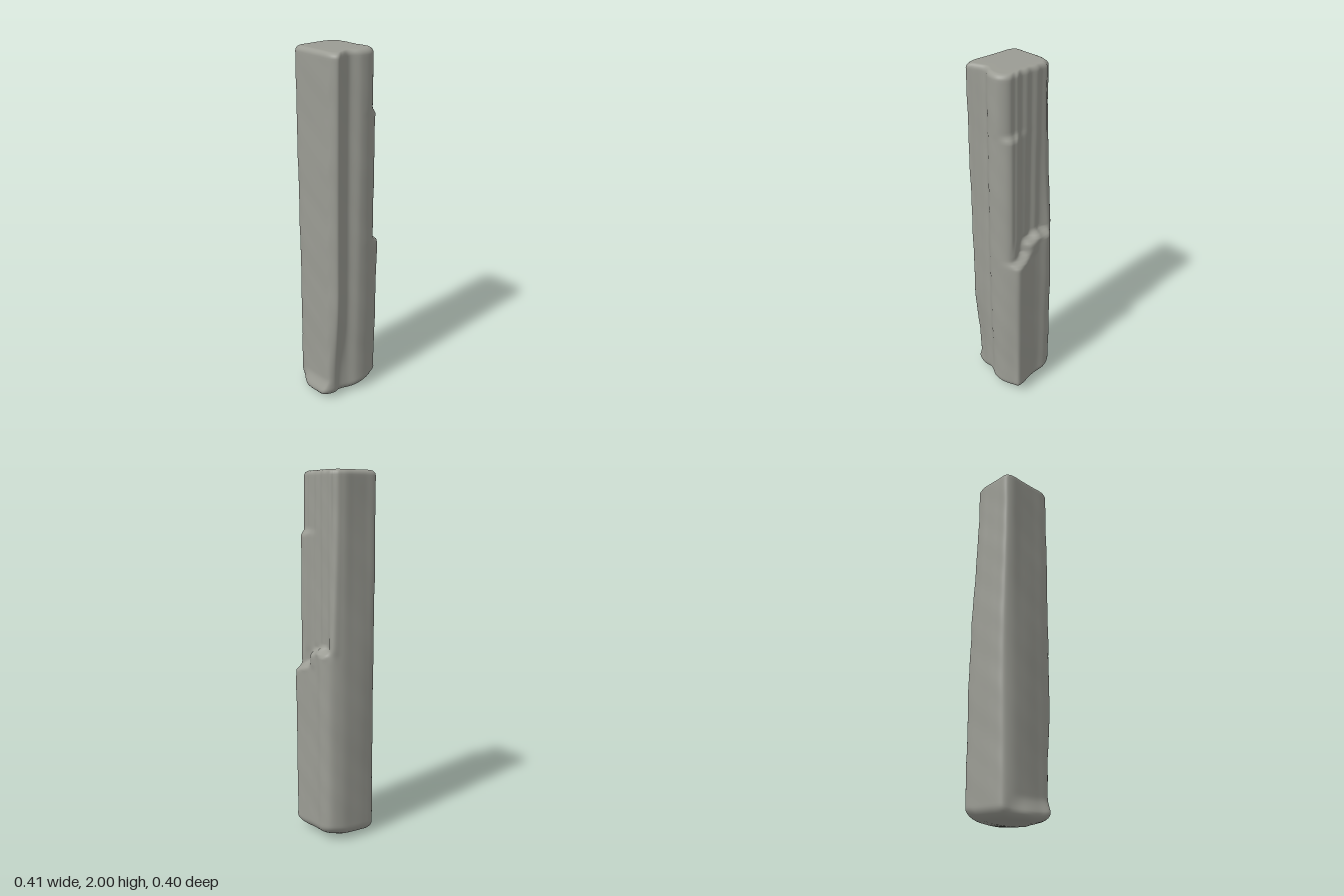
import * as THREE from 'three';

// Outline control points [x, z], counter-clockwise from the front-left ridge.
// Points 6-12 form the split left flank, 13-16 the back.
const UPPER = [
  [-0.13, 0.175], [-0.1, 0.2], [-0.065, 0.178], [-0.015, 0.147], [0.05, 0.16],
  [0.11, 0.145], [0.14, 0.105], [0.135, 0.06], [0.118, 0.02], [0.105, -0.03],
  [0.095, -0.08], [0.08, -0.13], [0.06, -0.16], [0.01, -0.17], [-0.05, -0.155],
  [-0.12, -0.135], [-0.18, -0.115], [-0.19, -0.08], [-0.175, -0.01], [-0.155, 0.08],
];
const LOWER = [
  [-0.135, 0.16], [-0.1, 0.197], [-0.065, 0.176], [-0.015, 0.147], [0.05, 0.16],
  [0.12, 0.145], [0.178, 0.105], [0.203, 0.07], [0.185, 0.02], [0.155, -0.03],
  [0.137, -0.09], [0.128, -0.15], [0.095, -0.19], [0.03, -0.198], [-0.04, -0.183],
  [-0.12, -0.158], [-0.172, -0.13], [-0.185, -0.085], [-0.177, -0.01], [-0.157, 0.08],
];
// Middle layer of the flank, and the heights at which the lower layer breaks off
const MIDDLE = { 6: [0.157, 0.11], 7: [0.16, 0.07], 8: [0.128, 0.025] };
const BREAK = { 6: 0.95, 7: 0.95, 8: 0.97, 9: 1.05, 10: 1.07, 11: 1.06 };
const COUNT = UPPER.length, COLS = 120;
const CX = -0.01, CZ = 0.0;

const step = THREE.MathUtils.smoothstep;
const mix = THREE.MathUtils.lerp;

// Outline of the stick at one height
function outline(y) {
  const points = UPPER.map((u, i) => {
    let [x, z] = u;
    if (MIDDLE[i]) {
      const k = 1 - step(y, 1.66, 1.7);
      x = mix(x, MIDDLE[i][0], k);
      z = mix(z, MIDDLE[i][1], k);
    }
    const b = BREAK[i];
    const k = b ? 1 - step(y, b - 0.025, b + 0.015) : 1 - step(y, 0.65, 1.9);
    x = mix(x, LOWER[i][0], k);
    z = mix(z, LOWER[i][1], k);
    // front ridge fades toward the foot
    if (z > 0.1) z -= (z > 0.17 ? 0.04 : 0.012) * (1 - step(y, 0.05, 0.7));
    // flared lip on the right of the foot
    if (i >= 18 || i === 0) x -= 0.035 * (1 - step(y, 0.0, 0.12));
    return new THREE.Vector3(x, 0, z);
  });
  return new THREE.CatmullRomCurve3(points, true);
}

// Heights and inward scale of every ring, from foot centre to top centre
function ringProfile() {
  const rings = [[0, 0.001], [0, 0.35], [0, 0.65]];
  const rb = 0.045, rt = 0.028;
  for (let k = 0; k <= 6; k++) {
    const a = (k / 6) * Math.PI / 2;
    rings.push([rb * (1 - Math.cos(a)), 1 - rb * (1 - Math.sin(a)) / 0.17]);
  }
  for (let k = 1; k < 150; k++) rings.push([mix(rb, 2 - rt, k / 150), 1]);
  for (let k = 0; k <= 6; k++) {
    const a = (k / 6) * Math.PI / 2;
    rings.push([2 - rt + rt * Math.sin(a), 1 - rt * (1 - Math.cos(a)) / 0.17]);
  }
  rings.push([2, 0.6], [2, 0.3], [2, 0.001]);
  return rings;
}

function stickGeometry() {
  const positions = [], index = [];
  const rings = ringProfile();
  for (const [y, scale] of rings) {
    const curve = outline(y);
    for (let c = 0; c < COLS; c++) {
      const p = curve.getPoint(c / COLS);
      const u = (c / COLS) * COUNT;
      // shallow lumps and vertical ribs on the exposed flank
      const lump = 1 + 0.009 * Math.sin(5 * y + u) * Math.sin(9 * y - 0.6 * u + 1)
        + 0.003 * Math.sin(31 * y + 2 * u);
      const rib = step(u, 6, 7) * (1 - step(u, 12, 13)) * step(y, 1.0, 1.1);
      const s = scale * (lump + 0.025 * rib * Math.cos(u * Math.PI * 1.6));
      const x = CX + (p.x - CX) * s, z = CZ + (p.z - CZ) * s;
      // uneven, slanting foot
      const lift = (0.16 * Math.max(0, x) + 0.9 * z * z) * Math.max(0, 1 - y / 0.4);
      positions.push(x, y + lift, z);
    }
  }
  for (let r = 0; r < rings.length - 1; r++) {
    for (let c = 0; c < COLS; c++) {
      const n = (c + 1) % COLS;
      const a = r * COLS + c, b = r * COLS + n;
      index.push(a, b, b + COLS, a, b + COLS, a + COLS);
    }
  }
  const geometry = new THREE.BufferGeometry();
  geometry.setAttribute('position', new THREE.Float32BufferAttribute(positions, 3));
  geometry.setIndex(index);
  geometry.computeVertexNormals();
  return geometry;
}

export function createModel() {
  const stone = new THREE.MeshStandardMaterial({ color: 0x9b9c94 });
  stone.name = 'grey stone';
  const pillar = new THREE.Mesh(stickGeometry(), stone);
  pillar.name = 'stonePillar';
  const group = new THREE.Group();
  group.name = 'standingStone';
  group.add(pillar);
  return group;
}
